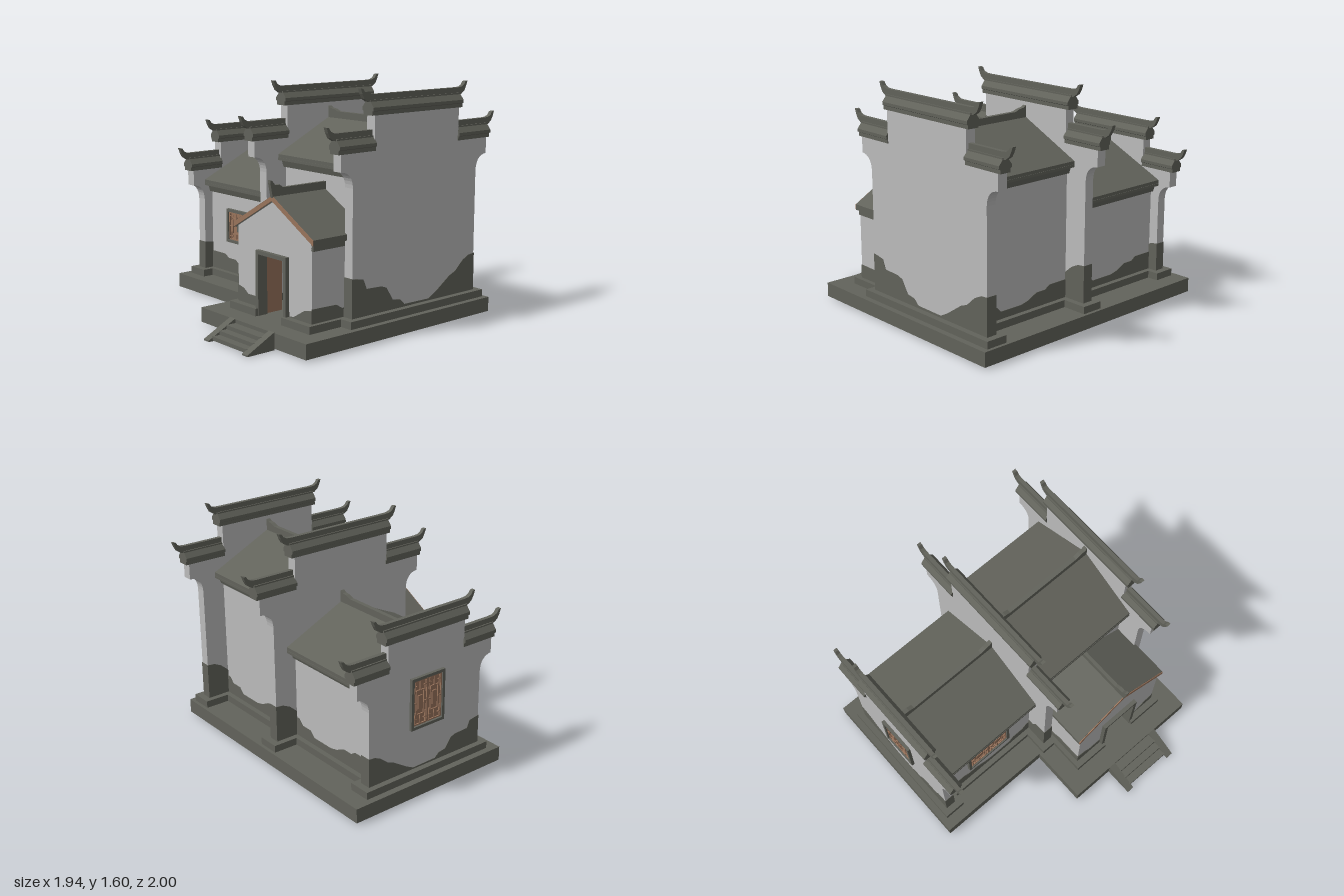
import * as THREE from 'three';

const mat = (name, color) => {
  const m = new THREE.MeshStandardMaterial({ color });
  m.name = name;
  return m;
};

export function createModel() {
  const plaster = mat('plaster', 0xbcbcbc);
  const stone = mat('greyStone', 0x62635b);
  const wood = mat('wood', 0x99745c);
  const root = new THREE.Group();
  root.name = 'courtyardHouse';
  const CZ = -0.23; // z of the ridge line shared by all halls and gables

  const group = (name, parent = root) => {
    const g = new THREE.Group();
    g.name = name;
    parent.add(g);
    return g;
  };
  const add = (name, geo, m, parent = root) => {
    const mesh = new THREE.Mesh(geo, m);
    mesh.name = name;
    parent.add(mesh);
    return mesh;
  };
  const box = (name, x0, x1, y0, y1, z0, z1, m, parent) =>
    add(name, new THREE.BoxGeometry(x1 - x0, y1 - y0, z1 - z0)
      .translate((x0 + x1) / 2, (y0 + y1) / 2, (z0 + z1) / 2), m, parent);
  const shapeOf = pts => new THREE.Shape(pts.map(p => new THREE.Vector2(p[0], p[1])));
  const extrude = (shape, depth) => new THREE.ExtrudeGeometry(
    Array.isArray(shape) ? shapeOf(shape) : shape, { depth, bevelEnabled: false });
  // (x, y) outline running from z0 to z1
  const alongZ = (name, pts, z0, z1, m, parent) =>
    add(name, extrude(pts, z1 - z0).translate(0, 0, z0), m, parent);
  // (z, y) outline running from x0 to x1
  const alongX = (name, pts, x0, x1, m, parent) =>
    add(name, extrude(pts, x1 - x0).rotateY(-Math.PI / 2).translate(x1, 0, 0), m, parent);
  // right half of an outline, completed by reflection about c
  const mirrored = (half, c) => [
    ...half.map(([u, v]) => [c + u, v]),
    ...half.slice().reverse().map(([u, v]) => [c - u, v])];

  // Base: a top plate with a hollow skirt below
  const outline = d => [[-0.97 + d, -0.87 + d], [0.97 - d, -0.87 + d], [0.97 - d, 0.79 - d],
    [-0.1 + d, 0.79 - d], [-0.1 + d, 0.37 - d], [-0.97 + d, 0.37 - d]];
  const skirt = shapeOf(outline(0));
  skirt.holes.push(shapeOf(outline(0.006)));
  const base = group('base');
  add('baseTop', extrude(outline(0), 0.01).rotateX(Math.PI / 2).translate(0, 0.11, 0), stone, base);
  add('baseSkirt', extrude(skirt, 0.09).rotateX(Math.PI / 2).translate(0, 0.1, 0), stone, base);

  // Front steps between two sloping side stones
  const stairs = group('stairs');
  [0.86, 0.915, 0.97].forEach((z, i) =>
    box('step', 0.265, 0.62, 0.005, 0.085 - i * 0.027, 0.785, z, stone, stairs));
  for (const x of [0.22, 0.617])
    alongX('stairSide', [[0.79, 0], [1, 0], [1, 0.01], [0.79, 0.115]], x, x + 0.053, stone, stairs);

  // Wall capping: stepped corbel, little tiled roof and ridge with upturned tips
  const cap = (x, u0, u1, T, bothTips, side, parent) => {
    const section = mirrored([[0.04, T - 0.13], [0.04, T - 0.105], [0.05, T - 0.1],
      [0.05, T - 0.08], [0.022, T - 0.045], [0.022, T - 0.035]], x);
    const a = CZ + side * u0, b = CZ + side * u1;
    alongZ('capTiles', section, Math.min(a, b), Math.max(a, b), stone, parent);
    const tip = [[-0.03, T - 0.05], [0.015, T - 0.045], [0.045, T - 0.025], [0.062, T + 0.005],
      [0.075, T + 0.04], [0.055, T + 0.037], [0.04, T + 0.015], [0.015, T + 0.003], [-0.02, T]]
      .map(([u, v]) => [u1 + u, v]);
    const pts = bothTips ? mirrored(tip, CZ)
      : [[u0, T - 0.05], ...tip, [u0, T]].map(([u, v]) => [CZ + side * u, v]);
    alongX('capRidge', pts, x - 0.014, x + 0.014, stone, parent);
  };

  // Weathered foot of the gables: distance from the ridge line as a fraction, height over plinth
  const gableDamp = [[1, 0.235], [0.93, 0.23], [0.83, 0.22], [0.78, 0.16], [0.55, 0.155], [0.47, 0.14],
    [0.37, 0.06], [0.25, 0.05], [0.18, 0.015], [-0.22, 0.012], [-0.34, 0.045], [-0.57, 0.125],
    [-0.67, 0.145], [-0.8, 0.205], [-0.9, 0.23], [-1, 0.235]];

  const gable = (name, x, o) => {
    const g = group(name);
    const w = 0.035;
    const curve = new THREE.QuadraticBezierCurve(new THREE.Vector2(o.base, o.low - 0.23),
      new THREE.Vector2(o.base + 0.005, o.low - 0.125), new THREE.Vector2(o.flare, o.low - 0.12));
    const half = [[o.base, 0.11], ...curve.getPoints(8).map(p => [p.x, p.y]),
      [o.flare, o.low], [o.top, o.low], [o.top, o.high]];
    alongX('gableWall', mirrored(half, CZ), x - w, x + w, plaster, g);
    const e = o.base + 0.003;
    alongX('gableDamp', [[CZ - e, 0.15], [CZ + e, 0.15],
      ...gableDamp.map(([f, h]) => [CZ + f * e, 0.16 + h * o.damp])], x - w - 0.003, x + w + 0.003, stone, g);
    box('gablePlinth', x - 0.078, x + 0.08, 0.11, 0.16, CZ - o.base - 0.05, CZ + o.base + 0.05, stone, g);
    cap(x, -o.top - 0.027, o.top + 0.027, o.high + 0.13, true, 1, g);
    for (const s of [1, -1]) cap(x, o.top - 0.005, o.flare + 0.025, o.low + 0.12, false, s, g);
  };
  const tall = { base: 0.567, flare: 0.667, top: 0.385, low: 1.22, high: 1.43, damp: 1.1 };
  const small = { base: 0.47, flare: 0.565, top: 0.318, low: 0.91, high: 1.09, damp: 0.85 };
  gable('rightGable', -0.847, small);
  gable('middleGable', 0.003, tall);
  gable('leftGable', 0.85, tall);

  // Halls between the gables
  const hallDamp = [[0, 0.125], [0.2, 0.125], [0.25, 0.1], [0.35, 0.1], [0.44, 0.065], [0.52, 0.05],
    [0.75, 0.05], [0.8, 0.09], [0.91, 0.09], [0.96, 0.13], [1, 0.13]];
  const hall = (name, x0, x1, eave, ridge, frontDamp) => {
    const g = group(name);
    box('hallWalls', x0, x1, 0.11, eave - 0.08, CZ - 0.4, CZ + 0.4, plaster, g);
    box('hallPlinthBack', x0, x1, 0.11, 0.16, CZ - 0.44, CZ - 0.4, stone, g);
    const roof = [[0.4, eave - 0.09], [0.42, eave - 0.09], [0.435, eave - 0.045], [0.465, eave - 0.04],
      [0.465, eave], [0.012, ridge - 0.045]];
    alongX('hallRoof', mirrored(roof, CZ), x0, x1, stone, g);
    const c = (x0 + x1) / 2, h = (x1 - x0) / 2;
    alongX('eaveLineFront', mirrored([[0.468, eave - 0.04], [0.468, eave - 0.022]], CZ), x0, x1, stone, g);
    alongZ('hallRidge', mirrored([[h, ridge - 0.07], [h, ridge + 0.035], [h - 0.025, ridge + 0.02],
      [h - 0.06, ridge + 0.015], [h - 0.1, ridge]], c), CZ - 0.015, CZ + 0.015, stone, g);
    const pts = [[x1, 0.11], [x0, 0.11], ...hallDamp.map(([f, y]) => [x0 + f * (x1 - x0), 0.16 + y])];
    alongZ('dampBack', pts, CZ - 0.404, CZ - 0.398, stone, g);
    if (frontDamp) {
      alongZ('dampFront', pts, CZ + 0.398, CZ + 0.404, stone, g);
      box('hallPlinthFront', x0, x1, 0.11, 0.16, CZ + 0.4, CZ + 0.44, stone, g);
    }
    return g;
  };
  hall('sideHall', -0.815, -0.03, 0.825, 1.08, true);
  hall('mainHall', 0.035, 0.818, 1.105, 1.37, false);

  // Lattice window facing +z, centred on its own origin
  const latticeWindow = (name, w, h) => {
    const g = group(name);
    const a = w / 2, b = h / 2, t = 0.02;
    box('windowBacking', -a + t, a - t, -b + t, b - t, -0.005, 0.004, wood, g);
    for (const s of [-1, 1]) {
      box('frameRail', -a, a, s > 0 ? b - t : -b, s > 0 ? b : -b + t, -0.01, 0.022, stone, g);
      box('frameStile', s > 0 ? a - t : -a, s > 0 ? a : -a + t, -b + t, b - t, -0.01, 0.022, stone, g);
    }
    const pw = (w - 2 * t) / 4, ph = b - t;
    const bar = (cx, x, y, bw, bh) => box('latticeBar', cx + x - bw / 2, cx + x + bw / 2,
      y - bh / 2, y + bh / 2, 0.003, 0.012, wood, g);
    for (const cx of [-pw, pw]) {
      // nested rectangles, ties and corner frets
      for (const [k, th] of [[0.95, 0.009], [0.52, 0.007]]) for (const s of [-1, 1]) {
        bar(cx, 0, s * ph * k, pw * 2 * k, th);
        bar(cx, s * pw * k, 0, th, ph * 2 * k);
      }
      for (const s of [-1, 1]) {
        bar(cx, s * pw * 0.73, 0, pw * 0.42, 0.007);
        bar(cx, 0, s * ph * 0.73, 0.007, ph * 0.42);
        for (const q of [-1, 1]) {
          bar(cx, s * pw * 0.7, q * ph * 0.72, pw * 0.45, 0.006);
          bar(cx, s * pw * 0.72, q * ph * 0.66, 0.006, ph * 0.5);
        }
      }
      bar(cx, 0, 0, pw * 0.6, ph * 0.6);
    }
    return g;
  };
  latticeWindow('frontWindow', 0.37, 0.245).position.set(-0.425, 0.51, 0.172);
  const sideWindow = latticeWindow('sideWindow', 0.28, 0.36);
  sideWindow.position.set(-0.882, 0.63, CZ);
  sideWindow.rotation.y = -Math.PI / 2;

  // Entrance porch
  const porch = group('porch');
  const PX = 0.435, FZ = 0.6;
  alongZ('porchFront', [[0.065, 0.11], [0.3, 0.11], [0.3, 0.53], [0.57, 0.53], [0.57, 0.11],
    [0.805, 0.11], [0.805, 0.67], [PX, 0.89], [0.065, 0.67]], FZ - 0.04, FZ, plaster, porch);
  for (const s of [-1, 1]) {
    const span = (a, b) => (s > 0 ? [PX + a, PX + b] : [PX - b, PX - a]);
    box('porchSide', ...span(0.335, 0.37), 0.11, 0.67, 0.16, FZ - 0.03, plaster, porch);
    box('porchPlinthSide', ...span(0.32, 0.405), 0.11, 0.16, 0.17, 0.65, stone, porch);
    box('porchPlinthFront', ...span(0.13, 0.405), 0.11, 0.16, FZ - 0.04, 0.65, stone, porch);
    box('doorPost', ...span(0.125, 0.152), 0.11, 0.545, FZ - 0.045, 0.63, stone, porch);
    box('doorLeaf', ...span(0.127, 0.137), 0.115, 0.52, FZ - 0.17, FZ - 0.045, wood, porch);
    // roof slope, eave moulding and timber bargeboard
    const slope = (top, low, x1) => [[PX, 0.92 - top], [PX + s * x1, 0.695 - top],
      [PX + s * x1, 0.695 - low], [PX, 0.92 - low]];
    alongZ('porchRoof', slope(0, 0.04, 0.397), 0.16, 0.61, stone, porch);
    alongZ('bargeboard', slope(0.003, 0.036, 0.396), 0.6, 0.616, wood, porch);
    box('porchCornice', ...span(0.36, 0.382), 0.62, 0.675, 0.16, 0.6, stone, porch);
    // weathered plaster
    const front = s > 0
      ? [[0.137, 0.16], [0.2, 0.17], [0.25, 0.2], [0.3, 0.23], [0.373, 0.245]]
      : [[0.137, 0.2], [0.17, 0.225], [0.27, 0.225], [0.31, 0.255], [0.373, 0.27]];
    alongZ('dampPorchFront', [[PX + s * 0.373, 0.12], [PX + s * 0.137, 0.12],
      ...front.map(([u, v]) => [PX + s * u, v])], FZ - 0.002, FZ + 0.004, stone, porch);
    alongX('dampPorchSide', [[0.17, 0.12], [FZ + 0.003, 0.12], [FZ + 0.003, 0.255], [0.4, 0.25],
      [0.35, 0.22], [0.17, 0.22]], ...span(0.368, 0.374), stone, porch);
  }
  box('doorLintel', PX - 0.152, PX + 0.152, 0.52, 0.545, FZ - 0.045, 0.63, stone, porch);
  alongX('porchRidge', [[0.16, 0.9], [0.615, 0.9], [0.635, 1.0], [0.635, 1.02], [0.62, 1.015],
    [0.595, 0.985], [0.56, 0.985], [0.53, 0.965], [0.16, 0.965]], PX - 0.012, PX + 0.012, stone, porch);

  return root;
}
